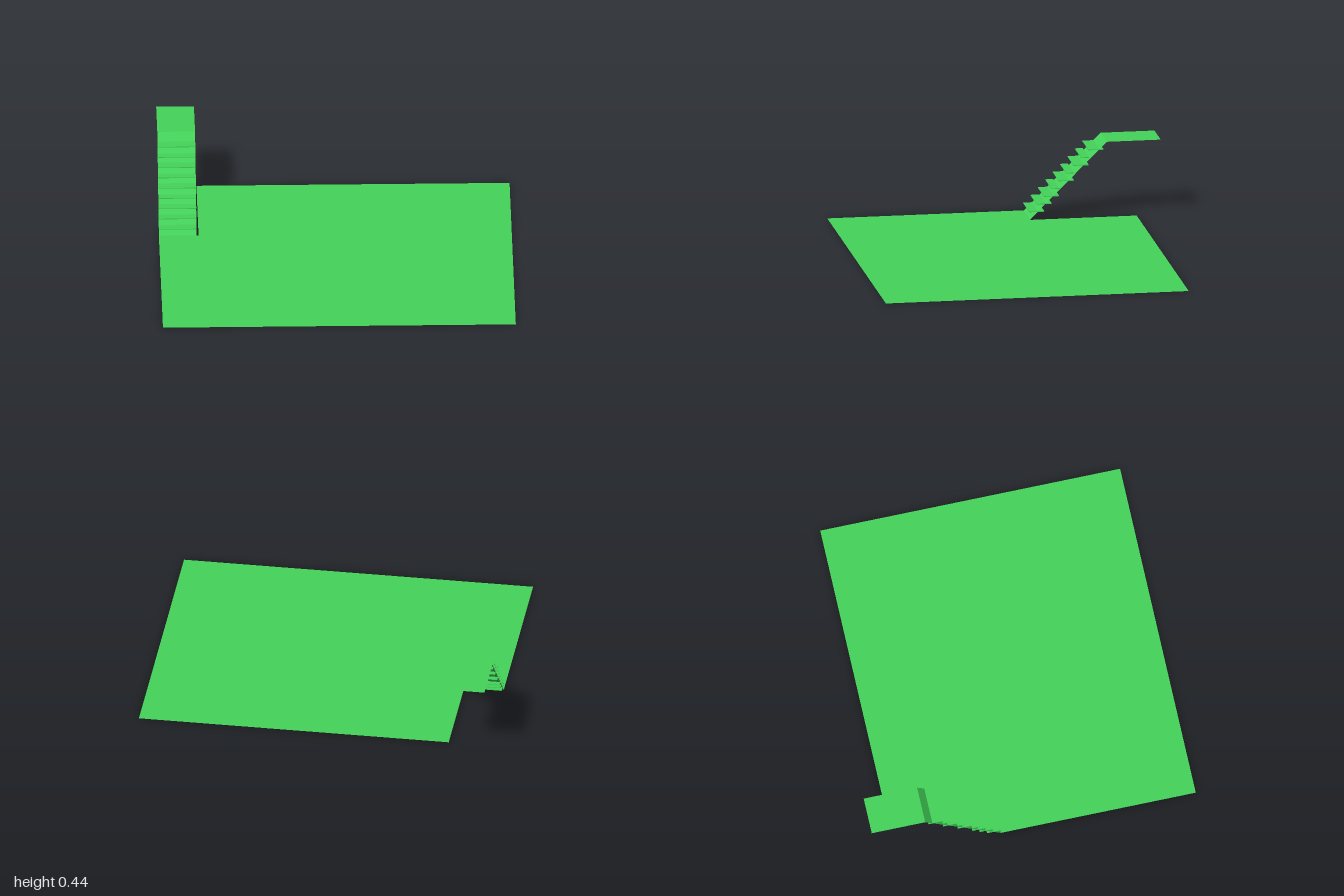
import * as THREE from 'three';

const STAIR_X = -0.893, STAIR_W = 0.214;   // centre and width of the flight
const FOOT_Z = -0.19, HEAD_Z = -0.63;      // where the flight starts and ends
const RISE = 0.435, STEPS = 10;

export function createModel() {
  const model = new THREE.Group();
  const green = new THREE.MeshStandardMaterial({ color: 0x44d45a, side: THREE.DoubleSide });

  const add = (name, geometry, parent = model) => {
    const mesh = new THREE.Mesh(geometry, green);
    mesh.name = name;
    parent.add(mesh);
    return mesh;
  };

  // Floor sheet with a corner cut out for the stairwell
  const outline = [[-1, 0.94], [1, 0.94], [1, -0.8], [-0.775, -0.8], [-0.775, FOOT_Z], [-1, FOOT_Z]];
  const shape = new THREE.Shape(outline.map(([x, z]) => new THREE.Vector2(x, -z)));
  add('floor', new THREE.ShapeGeometry(shape).rotateX(-Math.PI / 2));

  const stairs = new THREE.Group();
  stairs.name = 'stairs';
  model.add(stairs);

  // Sloping sheet that carries the treads
  const run = FOOT_Z - HEAD_Z;
  const ramp = add('ramp', new THREE.PlaneGeometry(STAIR_W, Math.hypot(run, RISE)), stairs);
  ramp.rotation.x = -Math.atan2(run, RISE);
  ramp.position.set(STAIR_X, RISE / 2, (FOOT_Z + HEAD_Z) / 2);

  // Thin treads; some stop at the ramp, the others pass through it
  for (let k = 1; k < STEPS; k++) {
    const stopsAtRamp = k > 3 && k % 2 === 0;
    const depth = stopsAtRamp ? 0.045 : 0.086;
    const front = -0.185 - 0.0425 * (k - 1);
    const tread = add('tread', new THREE.BoxGeometry(STAIR_W, 0.004, depth), stairs);
    tread.position.set(STAIR_X, RISE * k / STEPS, front - depth / 2);
  }

  // Landing at the head of the flight
  const landing = add('landing', new THREE.PlaneGeometry(STAIR_W, 0.31).rotateX(-Math.PI / 2));
  landing.position.set(STAIR_X, RISE, HEAD_Z - 0.155);

  return model;
}
